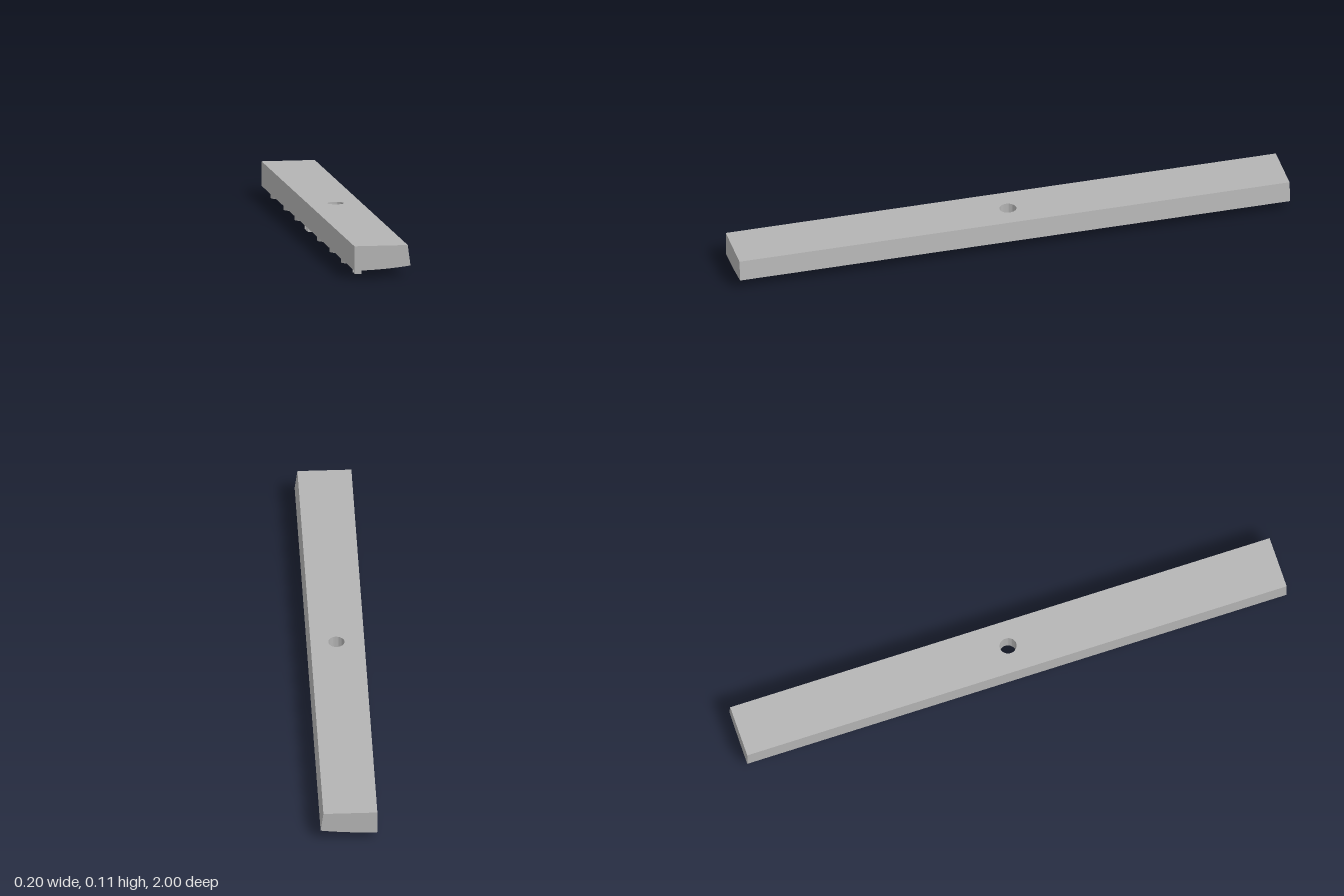
import * as THREE from 'three';
import { toCreasedNormals } from 'three/addons/utils/BufferGeometryUtils.js';

const TOP = 0.115, HALF = 0.1, HOLE = 0.03, RELIEF = 0.028;

// gently curved underside height across the width
const under = x => 0.028 + 0.014 * ((x + HALF) / 0.2) ** 2;

export function createModel() {
  const group = new THREE.Group();
  const grey = new THREE.MeshStandardMaterial({ color: 0xb4b4b4 });
  grey.name = 'plain grey';

  const add = (geometry, name) => {
    const mesh = new THREE.Mesh(geometry, grey);
    mesh.name = name;
    group.add(mesh);
    return mesh;
  };

  // solid ends of the bar: one cross-section extruded along z
  const section = new THREE.Shape();
  section.moveTo(-HALF, TOP);
  for (let i = 0; i <= 16; i++) {
    const x = -HALF + 0.2 * i / 16;
    section.lineTo(x, under(x));
  }
  section.lineTo(0.09, TOP);
  section.closePath();
  for (const [z, name] of [[HALF, 'frontBar'], [-1, 'backBar']]) {
    const g = new THREE.ExtrudeGeometry(section, { depth: 0.9, bevelEnabled: false });
    add(toCreasedNormals(g, 0.4), name).position.z = z;
  }

  // middle of the bar: square outline lofted to a round through-hole
  const N = 64, STEPS = 5, loop = 2 * STEPS + 2;
  const pos = [], idx = [];
  for (let i = 0; i <= N; i++) {
    const a = i / N * Math.PI * 2, c = Math.cos(a), s = Math.sin(a);
    const edge = HALF / Math.max(Math.abs(c), Math.abs(s));
    const at = t => HOLE + (edge - HOLE) * t;
    for (let k = 0; k <= STEPS; k++) {
      const r = at(k / STEPS), x = r * c;
      pos.push(x > 0 ? x - 0.01 * (x / HALF) : x, TOP, r * s);
    }
    for (let k = STEPS; k >= 0; k--) {
      const r = at(k / STEPS);
      pos.push(r * c, under(r * c), r * s);
    }
  }
  for (let i = 0; i < N; i++) for (let k = 0; k < loop; k++) {
    const a = i * loop + k, b = i * loop + (k + 1) % loop;
    idx.push(a, a + loop, b, b, a + loop, b + loop);
  }
  const middle = new THREE.BufferGeometry();
  middle.setAttribute('position', new THREE.Float32BufferAttribute(pos, 3));
  middle.setIndex(idx);
  add(toCreasedNormals(middle, 0.4), 'drilledMiddle');

  // raised relief: a shape in (x, z) hung from the curved underside
  const relief = (shape, name) => {
    const g = new THREE.ExtrudeGeometry(shape, { depth: RELIEF + 0.004, bevelEnabled: false, curveSegments: 20 });
    g.rotateX(Math.PI / 2);
    const p = g.attributes.position;
    for (let i = 0; i < p.count; i++) p.setY(i, p.getY(i) + under(p.getX(i)) + 0.004);
    add(toCreasedNormals(g, 0.6), name);
  };
  const rail = (x0, x1, z0, z1, name) => relief(new THREE.Shape([
    new THREE.Vector2(x0, z0), new THREE.Vector2(x1, z0),
    new THREE.Vector2(x1, z1), new THREE.Vector2(x0, z1)]), name);
  const ring = (x, z, rx, rz, wall, name) => {
    const s = new THREE.Shape().absellipse(x, z, rx, rz, 0, Math.PI * 2);
    s.holes.push(new THREE.Path().absellipse(x, z, rx - wall, rz - wall, 0, Math.PI * 2, true));
    relief(s, name);
  };

  // ring bosses, each beside a rail of the given length
  for (const [z, length] of [[0.372, 0.135], [0.11, 0.1], [-0.378, 0.075], [-0.617, 0.105], [-0.892, 0.105]]) {
    ring(-0.053, z, 0.032, 0.036, 0.013, 'ringBoss');
    rail(-0.026, -0.01, z - length / 2, z + length / 2, 'sideRail');
  }
  // lone round boss
  ring(-0.047, 0.622, 0.038, 0.038, 0.015, 'roundBoss');
  // three parallel ribs
  for (const z of [-0.158, -0.128, -0.097]) rail(-0.085, 0.025, z - 0.007, z + 0.007, 'rib');
  // pair of small pegs
  for (const z of [0.888, 0.855]) rail(-0.082, -0.058, z - 0.008, z + 0.008, 'peg');
  return group;
}
